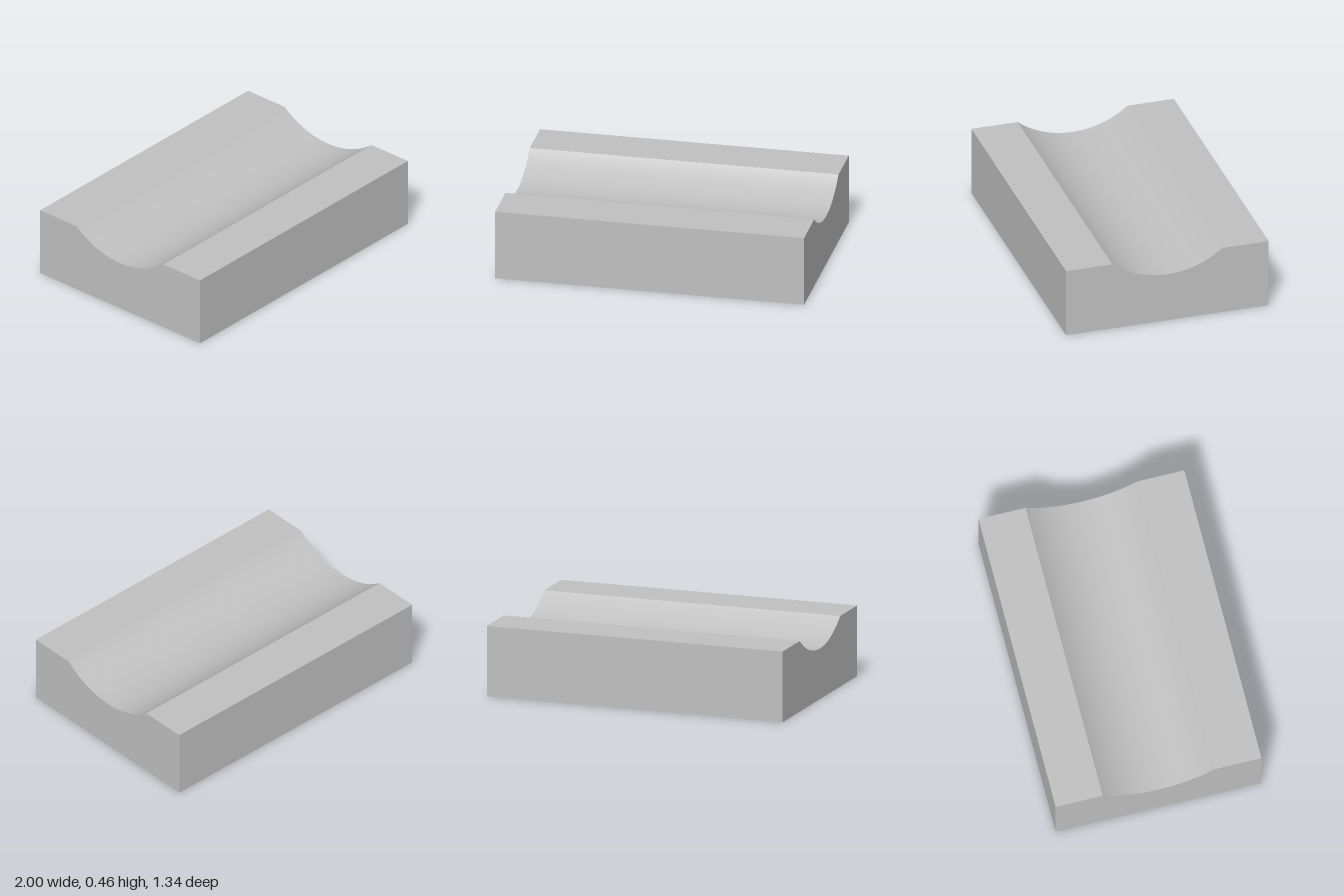
import * as THREE from 'three';

const X = 1, Z = 0.672, H = 0.46;             // half length, half width, height
const GROOVE_HALF = 0.365, GROOVE_DEPTH = 0.13;
const POCKET_R = 0.48, POCKET_DEPTH = 0.19;

export function createModel() {
  const group = new THREE.Group();
  const grey = new THREE.MeshStandardMaterial({ color: 0xc0c0c0 });
  grey.name = 'grey';

  const add = (name, geometry, x = 0, y = 0, z = 0) => {
    const mesh = new THREE.Mesh(geometry, grey);
    mesh.name = name;
    mesh.position.set(x, y, z);
    group.add(mesh);
  };

  // Circular arc of the groove
  const R = (GROOVE_HALF ** 2 + GROOVE_DEPTH ** 2) / (2 * GROOVE_DEPTH);
  const centreY = H - GROOVE_DEPTH + R;
  const half = Math.asin(GROOVE_HALF / R);

  // End faces with the groove cut into the top edge
  const profile = new THREE.Shape();
  profile.moveTo(-Z, 0);
  profile.lineTo(Z, 0);
  profile.lineTo(Z, H);
  profile.lineTo(GROOVE_HALF, H);
  profile.absarc(0, centreY, R, -Math.PI / 2 + half, -Math.PI / 2 - half, true);
  profile.lineTo(-Z, H);
  profile.closePath();
  for (const [name, side] of [['leftEnd', 1], ['rightEnd', -1]]) {
    add(name, new THREE.ShapeGeometry(profile, 32).rotateY(side * Math.PI / 2), side * X);
  }

  // Long walls and the flat rims beside the groove
  const rim = Z - GROOVE_HALF;
  for (const [name, side] of [['front', 1], ['back', -1]]) {
    const wall = new THREE.PlaneGeometry(2 * X, H);
    if (side < 0) wall.rotateY(Math.PI);
    add(name + 'Wall', wall, 0, H / 2, side * Z);
    add(name + 'Rim', new THREE.PlaneGeometry(2 * X, rim).rotateX(-Math.PI / 2),
      0, H, side * (Z - rim / 2));
  }

  // Concave groove surface running along x
  const groove = new THREE.LatheGeometry(
    [new THREE.Vector2(R, X), new THREE.Vector2(R, -X)],
    32, 1.5 * Math.PI - half, 2 * half);
  add('groove', groove.rotateZ(Math.PI / 2), 0, centreY, 0);

  // Underside with a round blind pocket
  const base = new THREE.Shape([[-X, -Z], [X, -Z], [X, Z], [-X, Z]]
    .map(([x, z]) => new THREE.Vector2(x, z)));
  base.holes.push(new THREE.Path().absarc(0, 0, POCKET_R, 0, 2 * Math.PI, true));
  add('underside', new THREE.ShapeGeometry(base, 64).rotateX(Math.PI / 2));
  add('pocketWall', new THREE.LatheGeometry(
    [new THREE.Vector2(POCKET_R, POCKET_DEPTH), new THREE.Vector2(POCKET_R, 0)], 64));
  add('pocketFloor', new THREE.CircleGeometry(POCKET_R, 64).rotateX(Math.PI / 2),
    0, POCKET_DEPTH, 0);

  return group;
}
